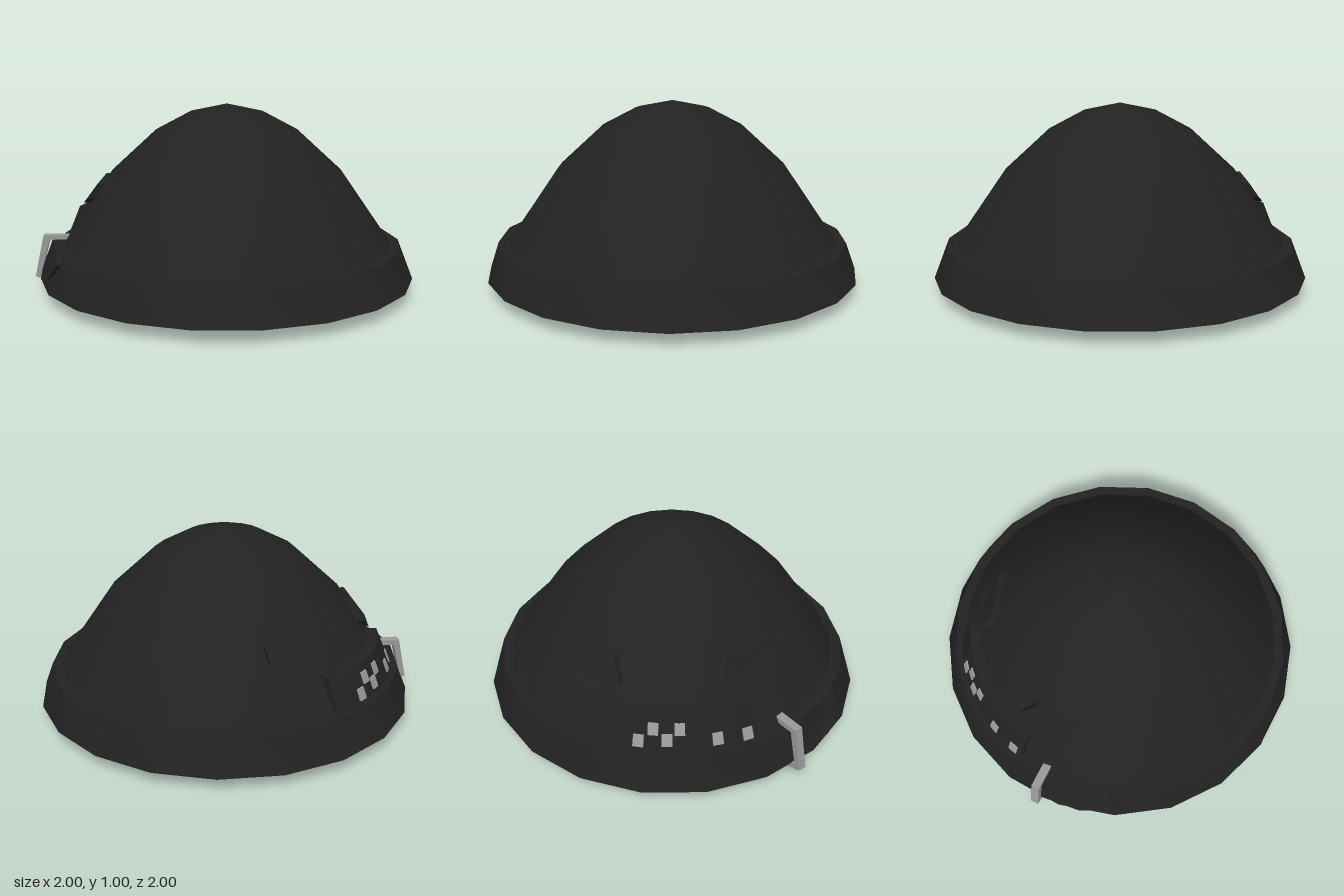
import * as THREE from 'three';

const cloth = new THREE.MeshStandardMaterial({ color: 0x222222 });
cloth.name = 'black cloth';
const metal = new THREE.MeshStandardMaterial({ color: 0x999999 });
metal.name = 'grey metal';

// dome profile as [radius, height]
const PROFILE = [[0.924, 0.2], [0.89, 0.25], [0.62, 0.64], [0.38, 0.86], [0.2, 0.955], [0, 0.998]];
const SIDES = 20, BACK = Math.PI, DEG = Math.PI / 180;

function domeRadius(y) {
  for (let i = 1; i < PROFILE.length; i++) {
    const [r0, y0] = PROFILE[i - 1], [r1, y1] = PROFILE[i];
    if (y <= y1) return r0 + (r1 - r0) * (y - y0) / (y1 - y0);
  }
  return 0;
}
const bandRadius = (y) => 1.0 - 0.38 * (y - 0.07);

// bends a flat piece around the back: x = degrees towards -x, y = height, z = distance off the surface
function wrap(geometry, radius) {
  const flat = geometry.index ? geometry.toNonIndexed() : geometry;
  const p = flat.attributes.position;
  for (let i = 0; i < p.count; i++) {
    const a = BACK + p.getX(i) * DEG, y = p.getY(i);
    const r = radius(y) + p.getZ(i);
    p.setXYZ(i, Math.sin(a) * r, y, Math.cos(a) * r);
  }
  flat.computeVertexNormals();
  return flat;
}

function plate(corners, inner, outer) {
  const shape = new THREE.Shape(corners.map(([a, y]) => new THREE.Vector2(a, y)));
  return new THREE.ExtrudeGeometry(shape, { depth: outer - inner, bevelEnabled: false }).translate(0, 0, inner);
}

export function createModel() {
  const group = new THREE.Group();
  const add = (name, geometry, material) => {
    const mesh = new THREE.Mesh(geometry, material);
    mesh.name = name;
    group.add(mesh);
    return mesh;
  };

  // dome
  add('dome', new THREE.LatheGeometry(PROFILE.map(([r, y]) => new THREE.Vector2(r, y)), SIDES), cloth);

  // rim band, its lower ring turned half a side
  const band = new THREE.CylinderGeometry(0.943, 1.01, 0.18, SIDES);
  const p = band.attributes.position, half = Math.PI / SIDES;
  for (let i = 0; i < p.count; i++) {
    if (p.getY(i) > 0) continue;
    const x = p.getX(i), z = p.getZ(i);
    p.setX(i, x * Math.cos(half) + z * Math.sin(half));
    p.setZ(i, z * Math.cos(half) - x * Math.sin(half));
  }
  add('rimBand', band.translate(0, 0.16, 0), cloth);

  // curved patch at the back, standing further out at its top
  const patchRadius = (y) => 0.9 - 0.42 * (y - 0.25);
  const patch = new THREE.BoxGeometry(52, 0.17, 0.1, 6, 1, 1).translate(2, 0.33, -0.05);
  add('backPatch', wrap(patch, patchRadius), cloth);

  // small metal squares on the patch, as [degrees, height]
  for (const [a, y] of [[24, 0.28], [14, 0.29], [2, 0.35], [-2, 0.3], [-6.5, 0.35], [-11, 0.29]]) {
    const square = new THREE.BoxGeometry(3.4, 0.055, 0.008).translate(a, y, 0.003);
    add('metalSquare', wrap(square, patchRadius), metal);
  }

  // raised six-sided flaps, one each side of the back
  const flap = [[20, 0.5], [22, 0.46], [35, 0.455], [44, 0.5], [45, 0.58], [25, 0.6]];
  for (const side of [1, -1]) {
    const corners = flap.map(([a, y]) => [a * side, y]);
    add(side > 0 ? 'rightFlap' : 'leftFlap', wrap(plate(corners, -0.04, 0.035), domeRadius), cloth);
  }

  // pointed strap end lying on the rim
  const strap = [[38, 0.1], [52, 0.1], [60, 0.14], [64, 0.22], [61, 0.26], [38, 0.26]];
  add('strapEnd', wrap(plate(strap, -0.06, 0.025), bandRadius), cloth);

  // C-shaped buckle hooked over the rim
  const hook = [[0.86, 0.255], [0.97, 0.255], [1.015, 0.08], [0.87, 0.03],
    [0.88, 0], [1.05, 0.055], [1.0, 0.285], [0.86, 0.285]];
  const buckle = new THREE.ExtrudeGeometry(
    new THREE.Shape(hook.map(([r, y]) => new THREE.Vector2(r, y))),
    { depth: 0.045, bevelEnabled: false }
  ).translate(0, 0, -0.0225);
  add('buckle', buckle, metal).rotation.y = Math.PI / 2 + 37.7 * DEG;

  return group;
}
